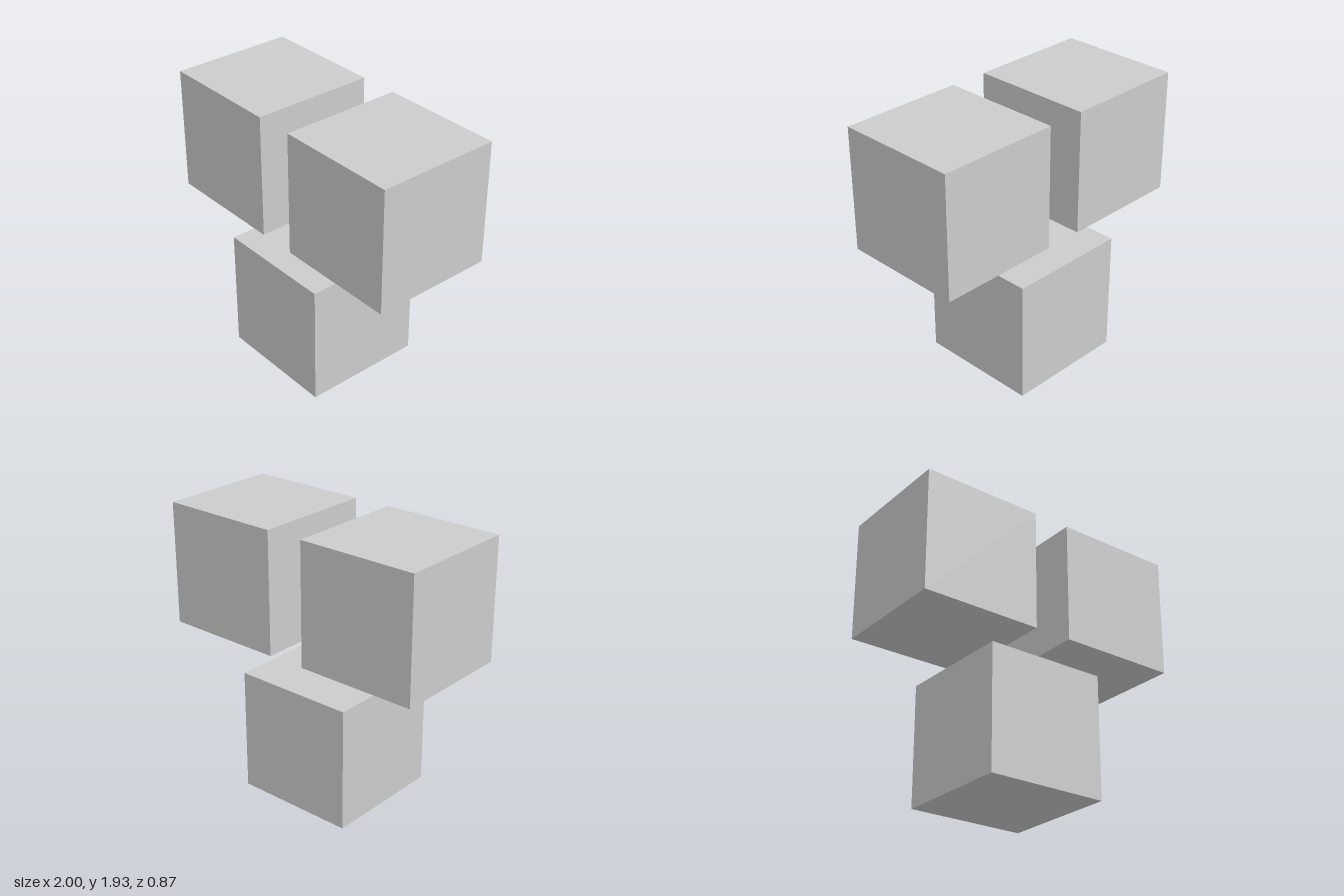
import * as THREE from 'three';

// Three separate equal cubes: two side by side above, one below and slightly off centre.
export function createModel() {
  const model = new THREE.Group();
  model.name = 'cubes';

  const size = 0.864;
  const geometry = new THREE.BoxGeometry(size, size, size);
  const material = new THREE.MeshStandardMaterial({ color: 0xcccccc, flatShading: true });

  const addCube = (name, x, y, z) => {
    const cube = new THREE.Mesh(geometry, material);
    cube.name = name;
    cube.position.set(x, y, z);
    model.add(cube);
  };

  // Upper pair, mirrored about x = 0
  for (const side of [1, -1]) {
    addCube(side > 0 ? 'upperLeftCube' : 'upperRightCube', side * (1 - size / 2), 1.494, 0.002);
  }

  // Lower cube, resting on the ground
  addCube('lowerCube', -0.054, size / 2, -0.002);

  return model;
}
